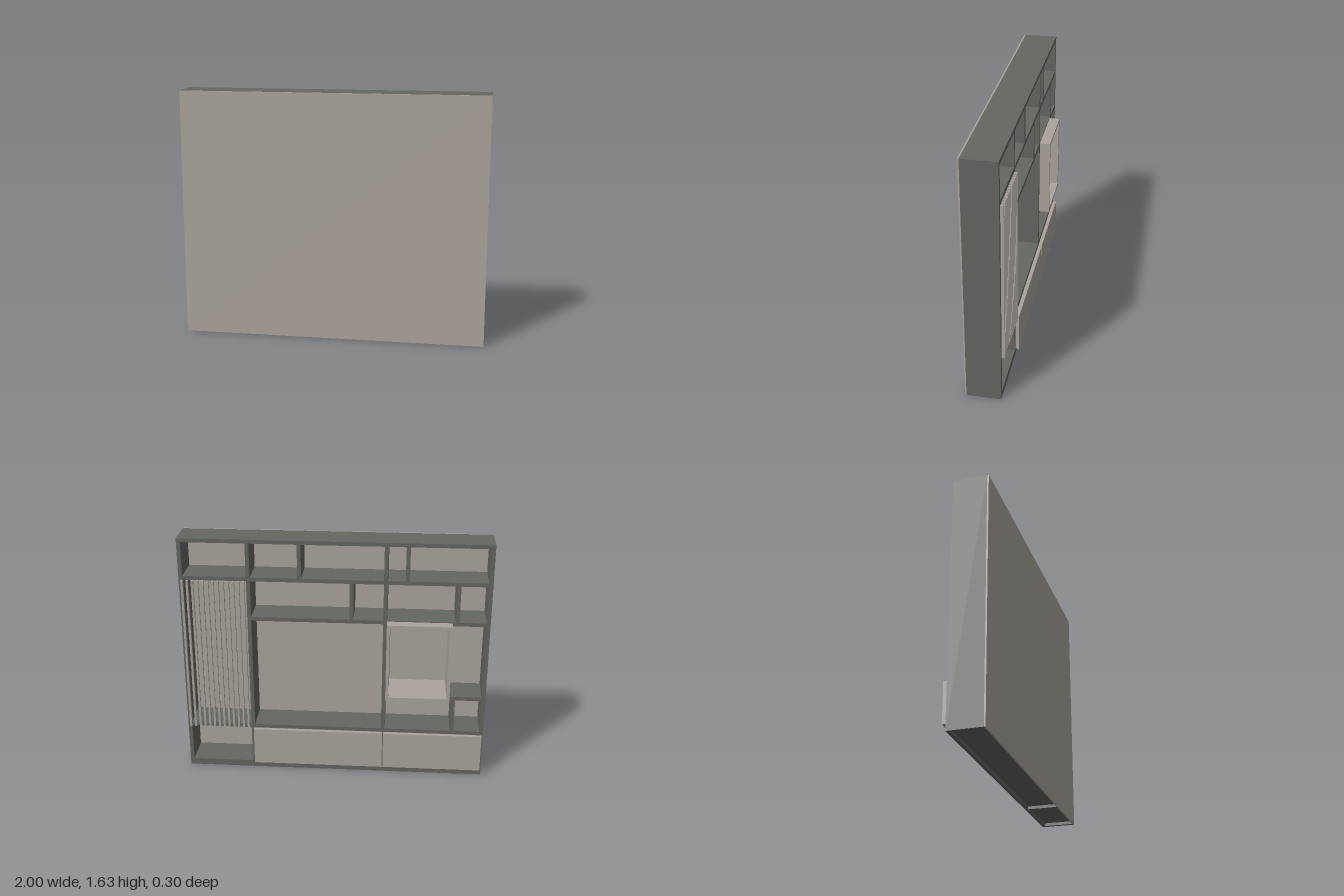
import * as THREE from 'three';

export function createModel() {
  const root = new THREE.Group();
  root.name = 'wallShelfUnit';
  const dark = new THREE.MeshStandardMaterial({ color: 0x646660 });
  dark.name = 'darkGreyWood';
  const taupe = new THREE.MeshStandardMaterial({ color: 0xaca49d });
  taupe.name = 'taupePanel';

  // Box given by its limits on each axis
  function board(name, mat, [x0, x1], [y0, y1], [z0, z1]) {
    const mesh = new THREE.Mesh(new THREE.BoxGeometry(x1 - x0, y1 - y0, z1 - z0), mat);
    mesh.position.set((x0 + x1) / 2, (y0 + y1) / 2, (z0 + z1) / 2);
    mesh.name = name;
    root.add(mesh);
  }

  const H = 1.635, T = 0.025, D = [-0.08, 0.14];
  const edge = 1 - T;

  // Closing panel across the whole unit
  board('closingPanel', taupe, [-1, 1], [0, H], [0.14, 0.15]);

  // Outer carcass with a raised bottom board and plinth rails
  for (const s of [-1, 1]) {
    const x = s > 0 ? [edge, 1] : [-1, -edge];
    board('sidePanel', dark, x, [0, H], D);
  }
  board('topPanel', dark, [-edge, edge], [H - T, H], D);
  board('bottomPanel', dark, [-edge, edge], [0.02, 0.045], D);
  board('plinthRail', dark, [-edge, edge], [0, 0.02], [-0.08, -0.06]);

  // Main uprights
  board('slatUpright', dark, [0.54, 0.565], [0, H - T], D);
  board('mainUpright', dark, [-0.34, -0.315], [0.045, H - T], D);

  // Horizontal shelves: [x from, x to, underside height]
  const shelves = [
    [-edge, edge, 1.36],
    [-edge, 0.54, 1.09],
    [-edge, -0.34, 0.56],
    [-edge, edge, 0.305],
  ];
  for (const [a, b, y] of shelves) board('shelf', dark, [a, b], [y, y + T], D);

  // Short dividers: [x from, bottom, top]
  const dividers = [
    [0.211, 1.385, H - T],
    [-0.477, 1.385, H - T],
    [-0.123, 1.115, 1.36],
    [-0.802, 1.115, 1.36],
    [-0.802, 0.33, 0.56],
  ];
  for (const [x, y0, y1] of dividers) board('divider', dark, [x, x + T], [y0, y1], D);

  // Projecting box frame
  const w = 0.02, deep = [-0.15, 0.14];
  board('boxFrameSide', taupe, [-0.36, -0.34], [0.58, 1.11], deep);
  board('boxFrameSide', taupe, [-0.76, -0.74], [0.58, 1.11], deep);
  board('boxFrameBottom', taupe, [-0.74, -0.36], [0.58, 0.58 + w], deep);
  board('boxFrameTop', taupe, [-0.74, -0.36], [1.11 - w, 1.11], [-0.15, -0.08]);

  // Drawer fronts
  board('wideDrawerFront', taupe, [-0.325, 0.547], [0.045, 0.303], [-0.105, -0.08]);
  board('narrowDrawerFront', taupe, [-0.99, -0.331], [0.045, 0.303], [-0.105, -0.08]);

  // Vertical slat screen
  for (let i = 0; i < 13; i++) {
    const x = 0.574 + i * 0.033;
    board('slat', taupe, [x, x + 0.014], [0.31, 1.36], [-0.102, -0.082]);
  }
  return root;
}
